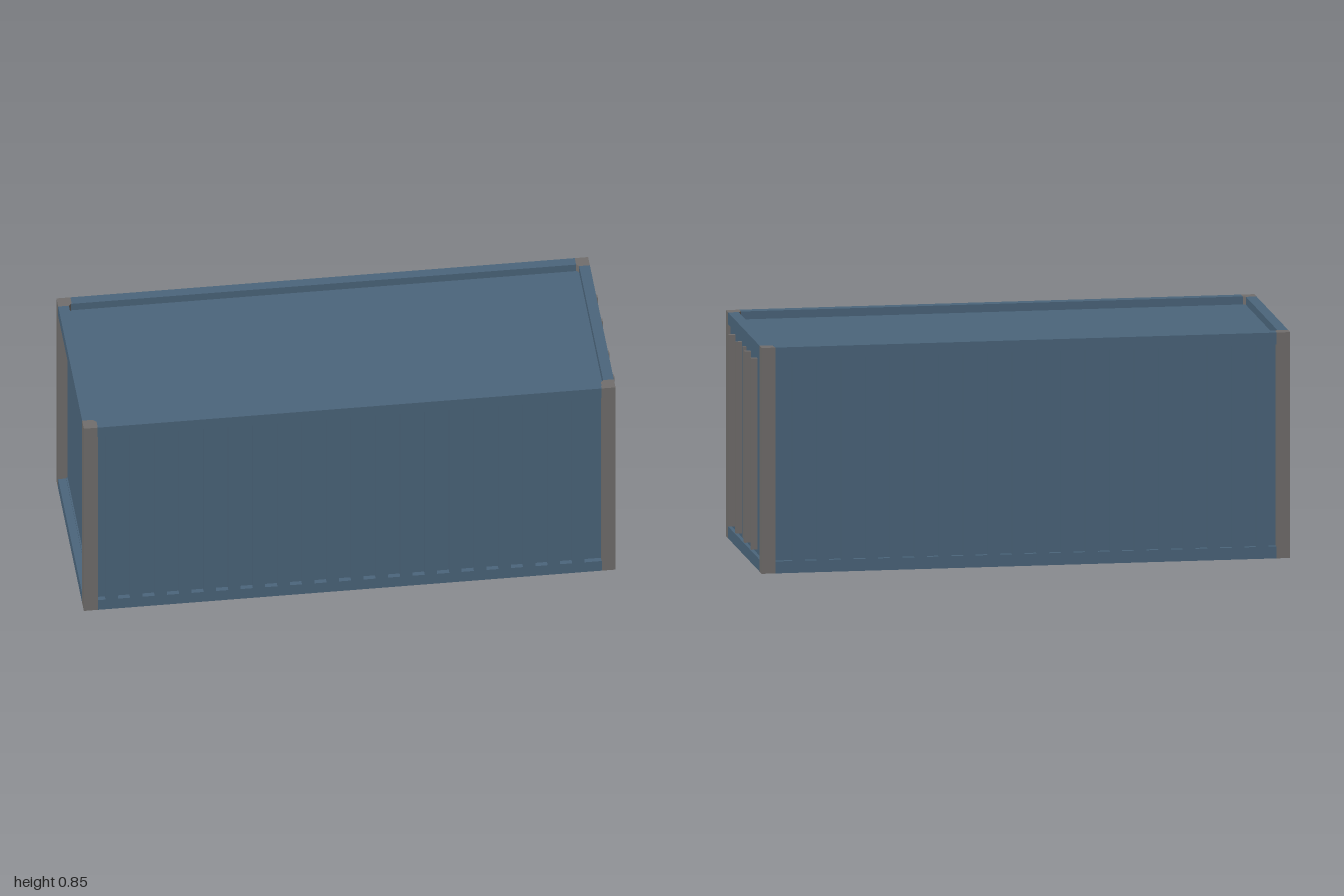
import * as THREE from 'three';

const X0 = -1, X1 = 0.985, Z = 0.4, H = 0.85; // body limits
const RAIL = 0.045, RAIL_DEPTH = 0.04, POST = 0.05;
const MID = (X0 + X1) / 2;

export function createModel() {
  const model = new THREE.Group();
  model.name = 'shippingContainer';

  const blue = new THREE.MeshStandardMaterial({ color: 0x4b657b });
  blue.name = 'blue paint';
  const grey = new THREE.MeshStandardMaterial({ color: 0x716e6c });
  grey.name = 'grey steel';

  // Box given by its limits on each axis
  const box = (name, material, [xa, xb], [ya, yb], [za, zb]) => {
    const mesh = new THREE.Mesh(new THREE.BoxGeometry(xb - xa, yb - ya, zb - za), material);
    mesh.position.set((xa + xb) / 2, (ya + yb) / 2, (za + zb) / 2);
    mesh.name = name;
    model.add(mesh);
    return mesh;
  };

  // Corner posts: square columns with the inner corner cut off
  for (const sx of [-1, 1]) {
    for (const sz of [-1, 1]) {
      const corners = [[0, 0], [0.052, 0], [0.052, 0.036], [0.04, POST], [0, POST]];
      const cx = sx < 0 ? X0 : X1;
      const points = corners.map(([a, b]) => new THREE.Vector2(cx - sx * a, -sz * (Z - b)));
      const geometry = new THREE.ExtrudeGeometry(new THREE.Shape(points), { depth: H, bevelEnabled: false });
      geometry.rotateX(-Math.PI / 2);
      const post = new THREE.Mesh(geometry, grey);
      post.name = 'cornerPost';
      model.add(post);
    }
  }

  // Top and bottom rails around the frame
  for (const y of [[0, RAIL], [H - RAIL, H]]) {
    for (const side of [-1, 1]) {
      const z = side > 0 ? [Z - RAIL_DEPTH, Z] : [-Z, -Z + RAIL_DEPTH];
      box('sideRail', blue, [X0 + POST, X1 - POST], y, z);
      const x = side > 0 ? [X1 - RAIL_DEPTH, X1] : [X0, X0 + RAIL_DEPTH];
      box('endRail', blue, x, y, [-Z + POST, Z - POST]);
    }
  }

  // Roof and floor, both sunk between the rails
  const innerX = [X0 + 0.03, X1 - 0.03], innerZ = [-Z + 0.03, Z - 0.03];
  box('roof', blue, innerX, [0.8, 0.82], innerZ);
  box('floor', blue, innerX, [0.03, 0.05], innerZ);

  // Corrugated side walls: a sunk sheet with upright ribs
  const depth = 0.02, pitch = 0.0917, ribWidth = 0.046;
  for (const side of [-1, 1]) {
    const sheet = [side * (Z - depth), side * (Z - depth - 0.015)].sort((a, b) => a - b);
    box('sideSheet', blue, [X0 + 0.03, X1 - 0.03], [0.035, 0.815], sheet);
    const rib = [side * Z, side * (Z - depth)].sort((a, b) => a - b);
    for (let i = 0; i < 20; i++) {
      const x = -0.919 + i * pitch;
      box('sideRib', blue, [x, x + ribWidth], [RAIL, H - RAIL], rib);
    }
  }

  // Plain far end wall, set well back
  box('endWall', blue, [-0.965, -0.95], [0.035, 0.815], [-0.37, 0.37]);

  // Door end with a slim sill gap and a centre seam strip
  const doorX = 0.976;
  for (const side of [-1, 1]) {
    const z = [side * 0.001, side * 0.352].sort((a, b) => a - b);
    box('door', blue, [0.955, doorX], [0.05, H - RAIL], z);
  }
  box('doorSeam', grey, [0.96, 0.989], [0.065, 0.785], [-0.003, 0.003]);

  // Locking bars
  for (const z of [-0.245, -0.098, 0.098, 0.247]) {
    box('lockingBar', grey, [doorX - 0.005, 1], [0.065, 0.785], [z - 0.009, z + 0.009]);
  }

  return model;
}
